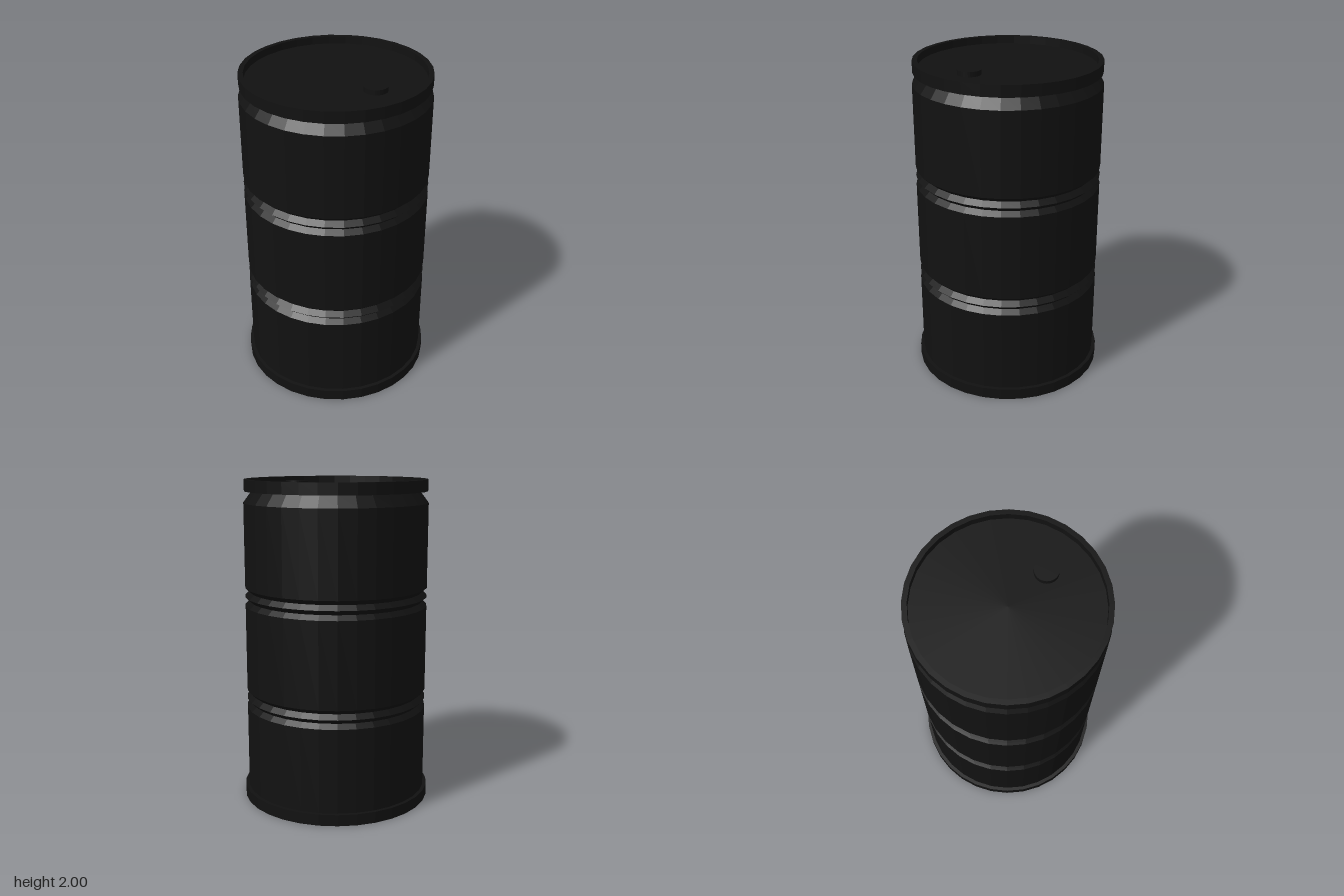
import * as THREE from 'three';

const SIDES = 32;
const R = 0.565; // barrel wall radius

export function createModel() {
  const model = new THREE.Group();
  model.name = 'drum';
  const paint = new THREE.MeshStandardMaterial({ color: 0x111111, flatShading: true });

  const add = (name, geometry) => {
    const mesh = new THREE.Mesh(geometry, paint);
    mesh.name = name;
    model.add(mesh);
    return mesh;
  };
  const lathe = (points) =>
    new THREE.LatheGeometry(points.map(([r, y]) => new THREE.Vector2(r, y)), SIDES);

  // Double V-groove pressed into the wall, centred on height y
  const grooves = (y) => [
    [R, y - 0.057], [R - 0.03, y - 0.029], [R, y], [R - 0.03, y + 0.029], [R, y + 0.057],
  ];

  // Base rim with closed underside
  add('baseRim', lathe([[0, 0], [0.587, 0], [0.587, 0.07], [R - 0.01, 0.07]]));

  // Wall with two groove bands and a sloped shoulder
  add('barrelWall', lathe([
    [R, 0.07], ...grooves(0.647), ...grooves(1.29), [R, 1.86], [0.512, 1.93],
  ]));

  // Top rim and recessed lid
  add('topRim', lathe([[0.512, 1.93], [0.56, 1.93], [0.56, 2], [0.53, 2], [0.53, 1.955]]));
  add('lid', lathe([[0.53, 1.955], [0, 1.955]]));

  // Filler cap on the lid
  const cap = add('fillerCap', new THREE.CylinderGeometry(0.07, 0.07, 0.03, SIDES));
  cap.position.set(0.29, 1.97, 0);

  return model;
}
